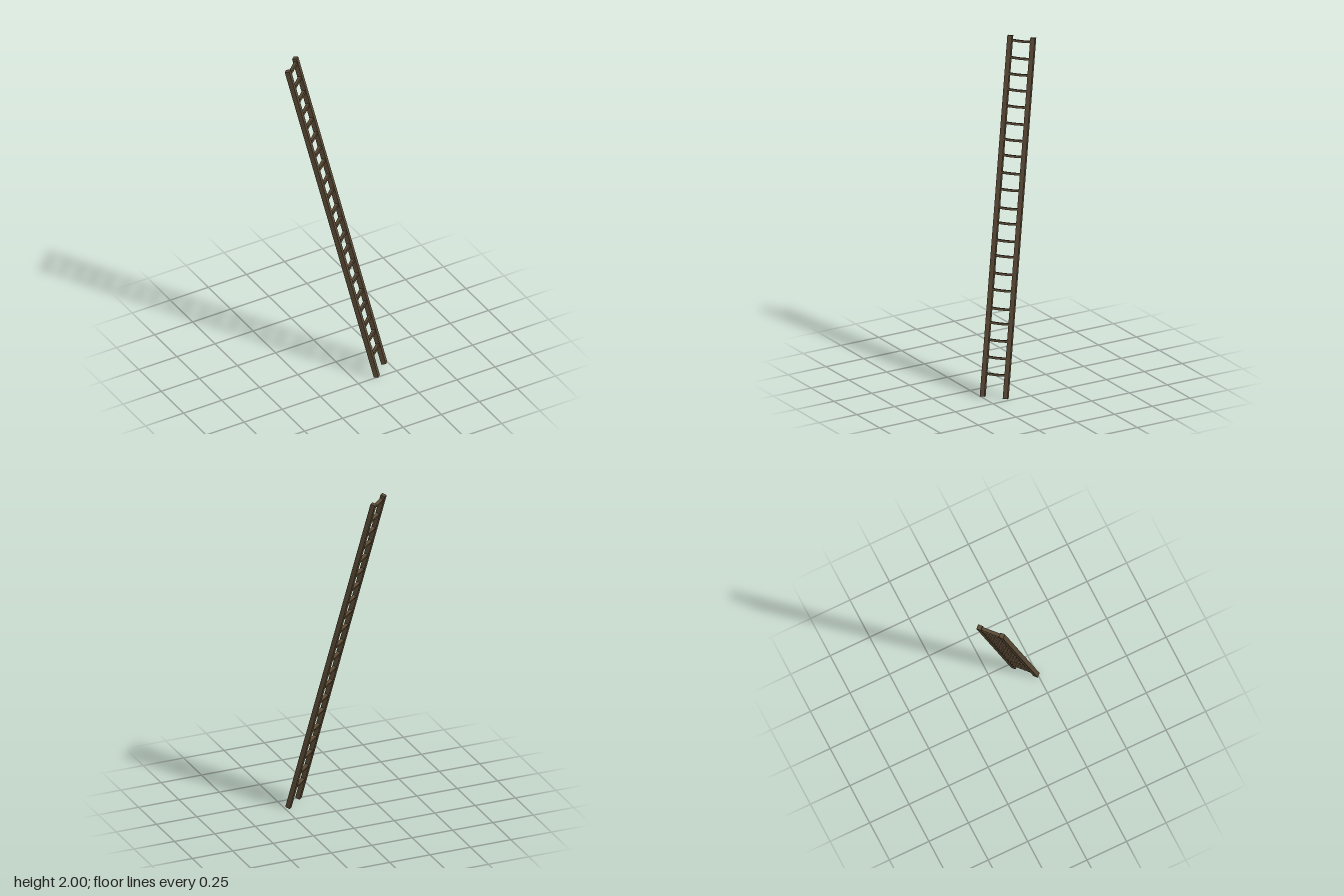
import * as THREE from 'three';

const wood = new THREE.MeshStandardMaterial({ color: 0x5a4a35, flatShading: true });

// Box running along x whose middle sags by a small amount
function rungGeometry(length, thickness, depth, sag) {
  const g = new THREE.BoxGeometry(length, thickness, depth, 6, 1, 1);
  const p = g.attributes.position;
  for (let i = 0; i < p.count; i++) {
    const t = (2 * p.getX(i)) / length;
    p.setY(i, p.getY(i) - sag * (1 - t * t));
  }
  g.computeVertexNormals();
  return g;
}

export function createModel() {
  const model = new THREE.Group();
  model.name = 'ladder';

  // Leaning frame: x across the rungs, y up the rails
  const across = new THREE.Vector3(0.102, 0, -0.0907).normalize();
  const up = new THREE.Vector3(-0.352, 1.993, -0.396).normalize();
  const out = new THREE.Vector3().crossVectors(across, up).normalize();
  const frame = new THREE.Group();
  frame.name = 'leaningFrame';
  frame.quaternion.setFromRotationMatrix(new THREE.Matrix4().makeBasis(across, up, out));
  frame.position.y = 1;
  model.add(frame);

  // Side rails
  const spacing = 0.136;
  for (const side of [-1, 1]) {
    const rail = new THREE.Mesh(new THREE.BoxGeometry(0.027, 2.062, 0.028), wood);
    rail.name = side < 0 ? 'rightRail' : 'leftRail';
    rail.position.x = (side * spacing) / 2;
    frame.add(rail);
  }

  // Hand-fitted rungs at slightly uneven heights
  const heights = [0.13, 0.222, 0.317, 0.412, 0.492, 0.594, 0.685, 0.782, 0.867, 0.963, 1.046,
    1.148, 1.24, 1.336, 1.423, 1.514, 1.608, 1.698, 1.785, 1.875, 1.97];
  const geometry = rungGeometry(spacing - 0.01, 0.013, 0.02, 0.003);
  heights.forEach((h, i) => {
    const rung = new THREE.Mesh(geometry, wood);
    rung.name = `rung${i + 1}`;
    rung.position.y = (h - 1) / up.y + 0.002;
    frame.add(rung);
  });

  return model;
}
